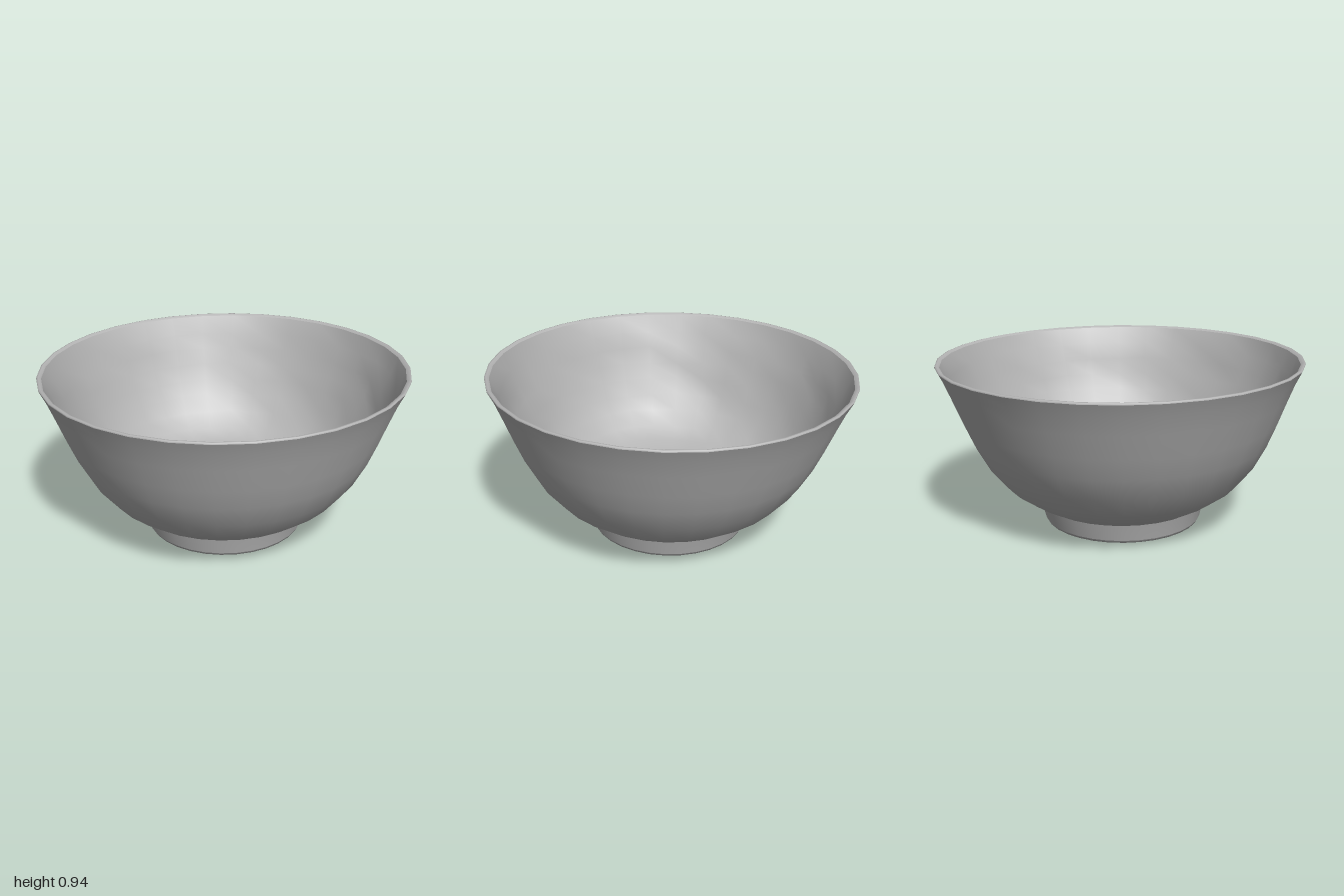
import * as THREE from 'three';
import { mergeVertices } from 'three/addons/utils/BufferGeometryUtils.js';

const SIDES = 32;

export function createModel() {
  const bowl = new THREE.Group();
  bowl.name = 'bowl';
  const glaze = new THREE.MeshStandardMaterial({ color: 0xb4b4b4 });
  glaze.name = 'grey glaze';

  // repeatable value in -0.5..0.5
  let seed = 7;
  const random = () => {
    seed = (seed * 16807) % 2147483647;
    return seed / 2147483647 - 0.5;
  };

  // turned part, slightly crooked; bump roughens its surface
  function turned(name, profile, bump = 0) {
    let g = new THREE.LatheGeometry(profile.map(([r, y]) => new THREE.Vector2(r, y)), SIDES);
    g.deleteAttribute('normal');
    g.deleteAttribute('uv');
    g = mergeVertices(g, 1e-4);
    const p = g.attributes.position;
    for (let i = 0; i < p.count; i++) {
      let x = p.getX(i), y = p.getY(i), z = p.getZ(i);
      const r = Math.hypot(x, z);
      if (bump && r < 0.93 && r > 0.05) {
        const k = 1 + random() * bump;
        x *= k;
        z *= k;
        y += random() * bump * 0.7;
      }
      // the foot sits a little off centre and the whole bowl leans
      const shift = 0.02 * Math.max(0, 1 - y / 0.9);
      p.setXYZ(i, x + shift, y + 0.017 * x, z + shift * 0.5);
    }
    g.computeVertexNormals();
    const mesh = new THREE.Mesh(g, glaze);
    mesh.name = name;
    bowl.add(mesh);
  }

  // hollow underside and foot ring
  turned('footRecess', [[0, 0.1], [0.16, 0.1], [0.3, 0.095], [0.345, 0.075], [0.385, 0.02]]);
  turned('footEdge', [[0.385, 0.02], [0.405, 0.01], [0.43, 0.016], [0.438, 0.03]]);
  turned('footRing', [[0.438, 0.03], [0.45, 0.08], [0.462, 0.125]]);

  // outer wall
  turned('outerWall', [
    [0.462, 0.125], [0.55, 0.175], [0.65, 0.248], [0.75, 0.37], [0.82, 0.5],
    [0.87, 0.62], [0.92, 0.75], [0.96, 0.85], [0.993, 0.917],
  ]);

  // rounded lip
  turned('rim', [[0.993, 0.917], [0.992, 0.925], [0.982, 0.927], [0.968, 0.917]]);

  // hand-worked inside
  turned('innerWall', [
    [0.968, 0.917], [0.925, 0.82], [0.89, 0.73], [0.855, 0.64], [0.815, 0.55],
    [0.77, 0.46], [0.715, 0.375], [0.64, 0.295], [0.55, 0.24], [0.43, 0.205],
    [0.3, 0.19], [0.16, 0.18], [0, 0.178],
  ], 0.022);

  return bowl;
}
